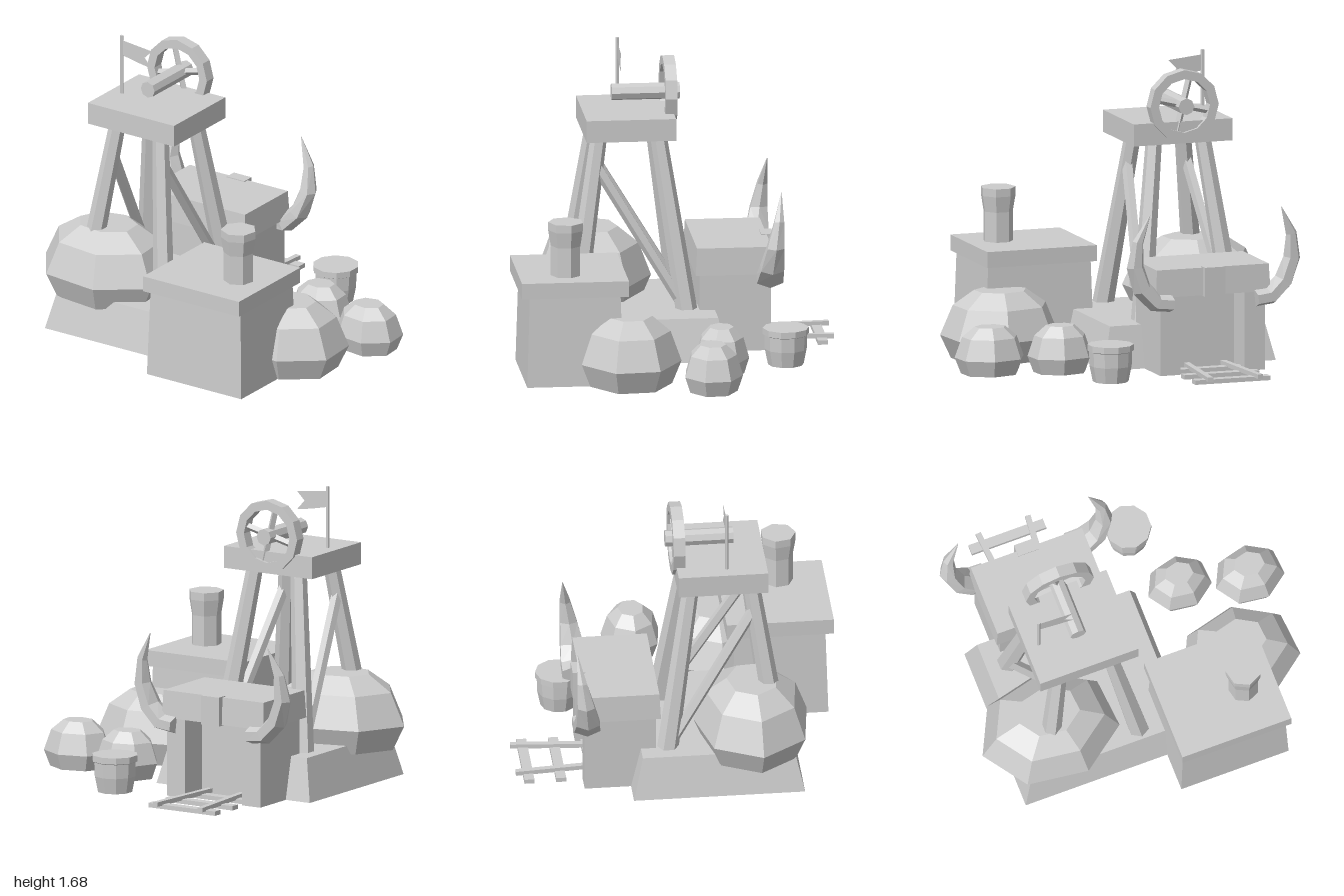
import * as THREE from 'three';

export function createModel() {
  const model = new THREE.Group();
  model.name = 'miningCamp';
  const stone = new THREE.MeshStandardMaterial({ color: 0xcccccc, flatShading: true, side: THREE.DoubleSide });
  stone.name = 'plain grey';

  const add = (name, geo, x = 0, y = 0, z = 0) => {
    const mesh = new THREE.Mesh(geo, stone);
    mesh.name = name;
    mesh.position.set(x, y, z);
    model.add(mesh);
    return mesh;
  };
  // box given by its limits
  const block = (name, x0, x1, y0, y1, z0, z1) =>
    add(name, new THREE.BoxGeometry(x1 - x0, y1 - y0, z1 - z0), (x0 + x1) / 2, (y0 + y1) / 2, (z0 + z1) / 2);
  // box whose top is inset by t on every side
  const taperedBlock = (name, x0, x1, y0, y1, z0, z1, t) => {
    const mesh = block(name, x0, x1, y0, y1, z0, z1);
    const p = mesh.geometry.attributes.position;
    for (let i = 0; i < p.count; i++) {
      if (p.getY(i) > 0) p.setXYZ(i, p.getX(i) - Math.sign(p.getX(i)) * t, p.getY(i), p.getZ(i) - Math.sign(p.getZ(i)) * t);
    }
    mesh.geometry.computeVertexNormals();
    return mesh;
  };
  // round beam between two points
  const beam = (name, a, b, ra, rb, sides = 6) => {
    const from = new THREE.Vector3(...a), to = new THREE.Vector3(...b);
    const dir = to.clone().sub(from);
    const mesh = add(name, new THREE.CylinderGeometry(rb, ra, dir.length(), sides));
    mesh.position.copy(from).add(to).multiplyScalar(0.5);
    mesh.quaternion.setFromUnitVectors(new THREE.Vector3(0, 1, 0), dir.normalize());
    return mesh;
  };
  const lathe = (pts, sides) => new THREE.LatheGeometry(pts.map(([r, y]) => new THREE.Vector2(r, y)), sides);

  // sloped plinth, open underneath
  const plinth = taperedBlock('plinth', -0.84, 0.18, 0, 0.24, -0.29, 0.67, 0.055);
  const index = Array.from(plinth.geometry.index.array);
  index.splice(18, 6);
  plinth.geometry.setIndex(index);
  plinth.geometry.clearGroups();

  // hut with slab roof and chimney
  taperedBlock('hutWalls', 0.005, 0.645, 0, 0.51, 0.35, 0.89, 0.015);
  block('hutRoof', 0, 0.65, 0.51, 0.6, 0.32, 0.92);
  add('chimney', lathe([[0.085, 0.59], [0.085, 0.77], [0.1, 0.86], [0.1, 0.905], [0, 0.905]], 7), 0.465, 0, 0.655);

  // seven-sided boulders: [x, y, z, x radius, height, z radius]
  const rock = lathe([[0, 0], [0.82, 0], [1, 0.34], [0.79, 0.78], [0.44, 1], [0, 1]], 7);
  rock.rotateY(THREE.MathUtils.degToRad(-86));
  [
    [-0.6, 0.19, 0.4, 0.405, 0.415, 0.33],
    [0.575, 0, 0.31, 0.345, 0.385, 0.29],
    [0.415, 0, -0.222, 0.188, 0.265, 0.155],
    [0.8, 0, -0.135, 0.203, 0.265, 0.168],
  ].forEach(([x, y, z, rx, h, rz], i) => add('boulder' + (i + 1), rock, x, y, z).scale.set(rx, h, rz));

  // tunnel entrance facing the back
  const mid = -0.37;
  block('tunnelBody', mid - 0.31, mid + 0.31, 0, 0.45, -0.38, -0.15);
  for (const s of [-1, 1]) {
    const a = mid + s * 0.31, b = mid + s * 0.19;
    block('entrancePillar', Math.min(a, b), Math.max(a, b), 0, 0.45, -0.55, -0.38);
  }
  taperedBlock('entranceLintel', mid - 0.34, mid + 0.34, 0.445, 0.6, -0.56, -0.125, 0.008);
  block('keystone', mid - 0.06, mid + 0.06, 0.44, 0.605, -0.59, -0.52);

  // curved tusks beside the entrance: [x offset, y, z, thickness, depth]
  const tuskRings = [
    [0.25, 0.41, -0.55, 0.05, 0.075], [0.34, 0.42, -0.54, 0.055, 0.085], [0.42, 0.5, -0.545, 0.055, 0.075],
    [0.465, 0.63, -0.56, 0.05, 0.055], [0.455, 0.77, -0.58, 0.032, 0.032], [0.39, 0.925, -0.6, 0.002, 0.002],
  ];
  const tuskGeometry = (side) => {
    const n = 6, pos = [], idx = [];
    tuskRings.forEach(([x, y, z, r, d], i) => {
      const prev = tuskRings[Math.max(i - 1, 0)], next = tuskRings[Math.min(i + 1, tuskRings.length - 1)];
      const dx = next[0] - prev[0], dy = next[1] - prev[1], len = Math.hypot(dx, dy);
      for (let k = 0; k < n; k++) {
        const t = (k / n) * Math.PI * 2, c = Math.cos(t) * r;
        pos.push(side * (x + (c * dy) / len), y - (c * dx) / len, z + Math.sin(t) * d);
      }
    });
    const tri = (a, b, c) => (side > 0 ? idx.push(a, c, b) : idx.push(a, b, c));
    for (let i = 0; i < tuskRings.length - 1; i++) {
      for (let k = 0; k < n; k++) {
        const a = i * n + k, b = i * n + ((k + 1) % n);
        tri(a, b, a + n);
        tri(b, b + n, a + n);
      }
    }
    for (let k = 1; k < n - 1; k++) tri(0, k + 1, k);
    const geo = new THREE.BufferGeometry();
    geo.setAttribute('position', new THREE.Float32BufferAttribute(pos, 3));
    geo.setIndex(idx);
    geo.computeVertexNormals();
    return geo;
  };
  add('leftTusk', tuskGeometry(1), mid);
  add('rightTusk', tuskGeometry(-1), mid);

  // track leaving the tunnel
  for (const z of [-0.85, -0.672, -0.495]) {
    const w = z < -0.6 ? 0.222 : 0.185;
    block('sleeper', mid - w, mid + w, 0, 0.025, z - 0.028, z + 0.028);
  }
  for (const s of [-1, 1]) {
    const rail = add('rail', new THREE.BoxGeometry(0.032, 0.025, 0.5), mid + s * 0.128, 0.032, -0.67);
    rail.rotation.y = -s * 0.08;
    rail.rotation.y *= -1 * -1;
    rail.rotation.y = -rail.rotation.y;
    rail.rotation.y = -Math.abs(rail.rotation.y) * s * -1 * -1;
  }

  // tub beside the entrance
  add('tub', lathe([[0, 0], [0.1, 0], [0.118, 0.09], [0.12, 0.17], [0.13, 0.175], [0.13, 0.21], [0, 0.21]], 10), 0.255, 0, -0.6);

  // headframe: splayed legs, side braces and platform
  const cx = -0.39, cz = 0.23;
  for (const sx of [-1, 1]) {
    for (const sz of [-1, 1]) {
      beam('headframeLeg', [cx + sx * 0.283, 0.14, cz + sz * 0.325], [cx + sx * 0.145, 1.22, cz + sz * 0.165], 0.062, 0.046);
    }
    beam('sideBrace', [cx + sx * 0.26, 0.26, cz - 0.29], [cx + sx * 0.175, 1.04, cz + 0.18], 0.032, 0.032, 5);
  }
  block('platform', -0.68, -0.095, 1.21, 1.335, -0.022, 0.48);

  // winding wheel with rim, spokes and axle
  const wheelY = 1.425;
  const rim = lathe([[0.152, -0.033], [0.203, -0.033], [0.203, 0.033], [0.152, 0.033], [0.152, -0.033]], 12);
  add('wheelRim', rim.rotateX(Math.PI / 2), cx, wheelY, -0.007);
  for (let i = 0; i < 4; i++) {
    const t = THREE.MathUtils.degToRad(14 + i * 90);
    beam('wheelSpoke', [cx, wheelY, -0.007], [cx + Math.cos(t) * 0.165, wheelY + Math.sin(t) * 0.165, -0.007], 0.02, 0.02, 4);
  }
  beam('axle', [cx, wheelY, -0.07], [cx, wheelY, 0.312], 0.047, 0.047, 8);

  // swallow-tailed flag on its pole
  beam('flagPole', [-0.605, 1.33, 0.255], [-0.605, 1.683, 0.255], 0.011, 0.011, 5);
  const flag = new THREE.Shape();
  flag.moveTo(-0.6, 1.655);
  flag.lineTo(-0.5, 1.645);
  flag.lineTo(-0.4, 1.635);
  flag.lineTo(-0.45, 1.585);
  flag.lineTo(-0.4, 1.53);
  flag.lineTo(-0.5, 1.545);
  flag.lineTo(-0.6, 1.565);
  add('flag', new THREE.ShapeGeometry(flag), 0, 0, 0.255);

  return model;
}
